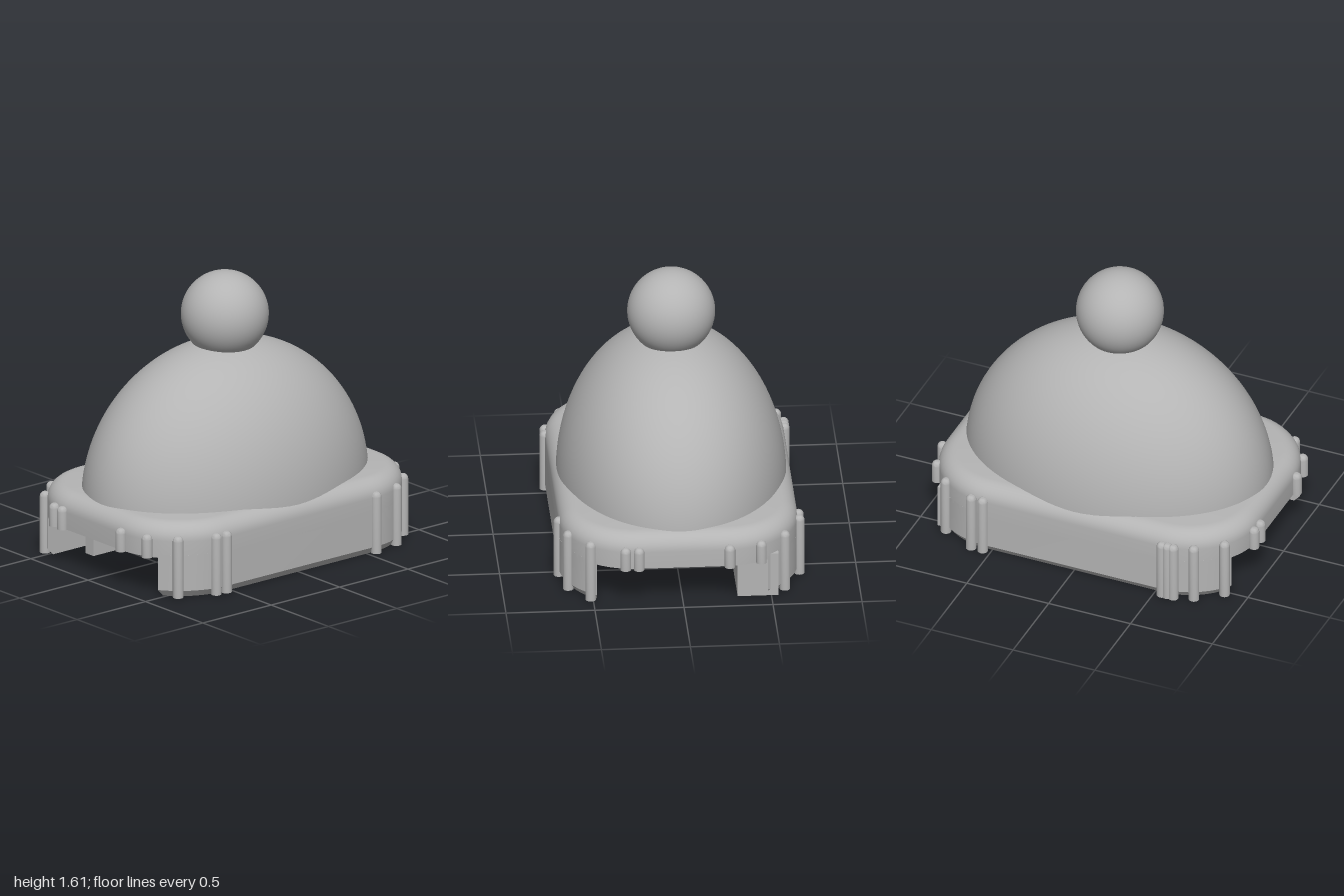
import * as THREE from 'three';
import { toCreasedNormals } from 'three/addons/utils/BufferGeometryUtils.js';

// half sizes of the straight parts of the brim, and its corner radius
const CX = 0.54, CZ = 0.25, R = 0.42, LIP = 0.23, RIM = 0.1;

// rounded rectangle of the brim, moved inwards by d
function brimOutline(d) {
  const pts = [];
  [[1, 1], [-1, 1], [-1, -1], [1, -1]].forEach(([sx, sz], q) => {
    for (let i = 0; i <= 12; i++) {
      const a = (q + i / 12) * Math.PI / 2;
      pts.push([sx * CX + (R - d) * Math.cos(a), sz * CZ + (R - d) * Math.sin(a)]);
    }
  });
  return pts;
}

// the part of that outline lying beyond z = inner
function skirtOutline(d, inner) {
  const r = R - d, a0 = Math.asin((inner - CZ) / r), half = [];
  for (let i = 0; i <= 10; i++) {
    const a = a0 + (Math.PI / 2 - a0) * i / 10;
    half.push([CX + r * Math.cos(a), CZ + r * Math.sin(a)]);
  }
  return [...half, ...half.slice().reverse().map(([x, z]) => [-x, z])];
}

// closed solid through stacked rings [y, outline], bottom to top
function loft(rings) {
  const pos = [], idx = [], n = rings[0][1].length;
  for (const [y, pts] of rings) for (const [x, z] of pts) pos.push(x, y, z);
  const cap = ([y, pts]) => {
    pos.push(0, y, pts.reduce((s, p) => s + p[1], 0) / n);
    return pos.length / 3 - 1;
  };
  const bottom = cap(rings[0]), top = cap(rings[rings.length - 1]);
  const last = (rings.length - 1) * n;
  for (let i = 0; i < n; i++) {
    const k = (i + 1) % n;
    for (let j = 0; j < last; j += n) {
      idx.push(j + i, j + n + i, j + k, j + k, j + n + i, j + n + k);
    }
    idx.push(bottom, i, k, top, last + k, last + i);
  }
  const g = new THREE.BufferGeometry();
  g.setAttribute('position', new THREE.Float32BufferAttribute(pos, 3));
  g.setIndex(idx);
  return toCreasedNormals(g, 0.6);
}

export function createModel() {
  const group = new THREE.Group();
  const grey = new THREE.MeshStandardMaterial({ color: 0xb4b4b4 });
  grey.name = 'plain grey';
  const add = (name, geometry, x = 0, y = 0, z = 0) => {
    const m = new THREE.Mesh(geometry, grey);
    m.name = name;
    m.position.set(x, y, z);
    group.add(m);
    return m;
  };
  const box = (name, x0, x1, y0, y1, z0, z1) =>
    add(name, new THREE.BoxGeometry(x1 - x0, y1 - y0, z1 - z0),
      (x0 + x1) / 2, (y0 + y1) / 2, (z0 + z1) / 2);

  // pompom and oval dome
  add('pompom', new THREE.SphereGeometry(0.247, 48, 32), 0, 1.363, 0);
  const dome = new THREE.SphereGeometry(1, 96, 32, 0, Math.PI * 2, 0, Math.PI / 2);
  add('dome', dome.scale(0.9, 0.87, 0.645), 0, 0.345, 0);

  // brim with a rounded upper edge
  const rings = [[LIP, brimOutline(0)]];
  for (let i = 0; i <= 8; i++) {
    const a = i / 8 * Math.PI / 2;
    rings.push([0.33 + RIM * Math.sin(a), brimOutline(RIM * (1 - Math.cos(a)))]);
  }
  add('brim', loft(rings));

  // front and back skirts with a chamfered foot
  for (const [name, turn] of [['frontSkirt', 0], ['backSkirt', Math.PI]]) {
    const skirt = loft([
      [0, skirtOutline(0.03, 0.48)],
      [0.04, skirtOutline(0, 0.48)],
      [LIP + 0.02, skirtOutline(0, 0.48)],
    ]);
    add(name, skirt).rotation.y = turn;
  }

  // inner rail behind the slot, held by an end block and a bridge
  box('rail', -0.7, 0.88, 0, 0.2, -0.38, -0.31);
  box('railEndBlock', 0.77, 0.88, 0, 0.26, -0.54, -0.38);
  box('railBridge', -0.04, 0.04, 0, 0.24, -0.5, -0.38);

  // round-topped ribs around the brim: [x, z]
  const ribs = [
    [-0.62, -0.675], [-0.585, -0.675], [-0.55, -0.675], [-0.73, -0.64], [-0.87, -0.53],
    [-0.965, -0.335], [-0.97, -0.26], [0.545, -0.675], [0.615, -0.675], [0.81, -0.58],
    [0.925, -0.44], [0.97, -0.26], [-0.97, 0.25], [-0.93, 0.43], [-0.82, 0.57],
    [-0.62, 0.665], [-0.55, 0.67], [0.545, 0.67], [0.725, 0.63], [0.87, 0.515],
    [0.965, 0.325], [0.97, 0.25],
  ];
  for (const [x, z] of ribs) {
    const y0 = Math.abs(z) < 0.48 ? LIP : 0.005;
    const profile = [new THREE.Vector2(0, y0), new THREE.Vector2(0.03, y0)];
    for (let i = 0; i <= 6; i++) {
      const a = i / 6 * Math.PI / 2;
      profile.push(new THREE.Vector2(0.03 * Math.cos(a), 0.335 + 0.03 * Math.sin(a)));
    }
    add('rib', toCreasedNormals(new THREE.LatheGeometry(profile, 16), 0.6), x, 0, z);
  }
  return group;
}
